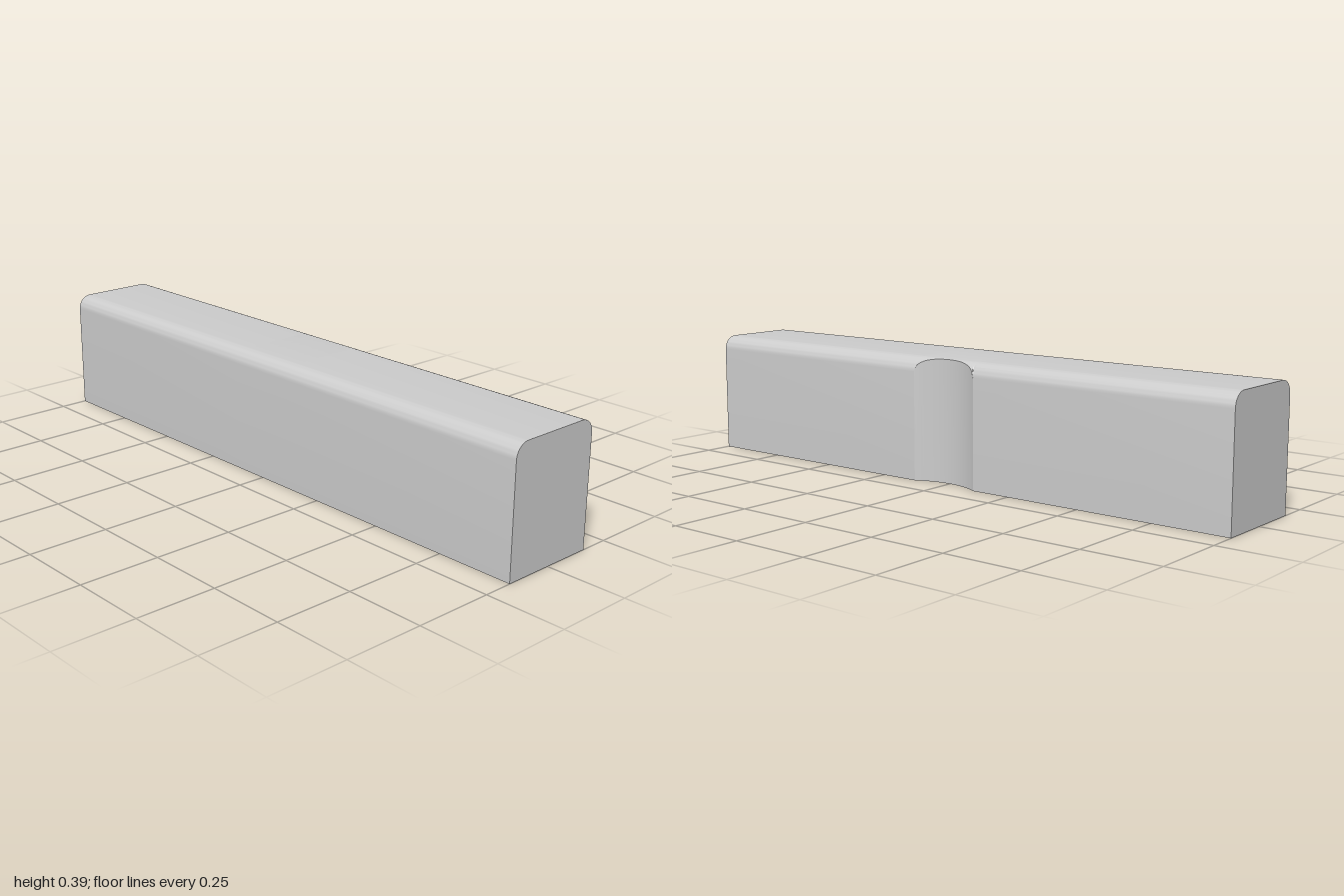
import * as THREE from 'three';
import { toCreasedNormals } from 'three/addons/utils/BufferGeometryUtils.js';

const HALF_W = 0.158, HEIGHT = 0.393, FILLET = 0.045, HALF_L = 1;
const NOTCH_HALF = 0.118, NOTCH_DEPTH = 0.031;
const NOTCH_R = (NOTCH_HALF ** 2 + NOTCH_DEPTH ** 2) / (2 * NOTCH_DEPTH);
const ARC_STEPS = 10, NOTCH_STEPS = 24;

// x of the bar's left wall at z, drawn inward by the round notch
function wallX(z) {
  if (Math.abs(z) >= NOTCH_HALF) return HALF_W;
  return HALF_W - NOTCH_DEPTH + NOTCH_R - Math.sqrt(NOTCH_R ** 2 - z * z);
}

// Cross-section with rounded top corners, cut off at x = cut
function crossSection(cut) {
  const cx = HALF_W - FILLET, cy = HEIGHT - FILLET;
  const pts = [[-HALF_W, 0], [cut, 0]];
  const start = Math.acos(Math.min(1, (cut - cx) / FILLET));
  const arc = (x, a0, a1) => {
    for (let i = 0; i <= ARC_STEPS; i++) {
      const a = a0 + (a1 - a0) * i / ARC_STEPS;
      pts.push([x + FILLET * Math.cos(a), cy + FILLET * Math.sin(a)]);
    }
  };
  arc(cx, start, Math.PI / 2);
  arc(-cx, Math.PI / 2, Math.PI);
  return pts;
}

function barGeometry() {
  // Stations along the bar: both ends plus a fine run through the notch
  const stations = [-HALF_L];
  const sweep = Math.asin(NOTCH_HALF / NOTCH_R);
  for (let i = 0; i <= NOTCH_STEPS; i++) {
    stations.push(NOTCH_R * Math.sin(sweep * (2 * i / NOTCH_STEPS - 1)));
  }
  stations.push(HALF_L);

  const positions = [], index = [];
  let n = 0;
  for (const z of stations) {
    const section = crossSection(wallX(z));
    n = section.length;
    for (const [x, y] of section) positions.push(x, y, z);
  }

  // Skin between neighbouring sections
  for (let s = 0; s < stations.length - 1; s++) {
    for (let j = 0; j < n; j++) {
      const k = (j + 1) % n;
      const a = s * n + j, b = s * n + k;
      index.push(a, b, b + n, a, b + n, a + n);
    }
  }

  // Flat end caps
  const last = (stations.length - 1) * n;
  for (let j = 1; j < n - 1; j++) {
    index.push(last, last + j, last + j + 1);
    index.push(0, j + 1, j);
  }

  const geo = new THREE.BufferGeometry();
  geo.setAttribute('position', new THREE.Float32BufferAttribute(positions, 3));
  geo.setIndex(index);
  return toCreasedNormals(geo, 0.35);
}

export function createModel() {
  const group = new THREE.Group();
  group.name = 'notchedBar';
  const bar = new THREE.Mesh(barGeometry(), new THREE.MeshStandardMaterial({ color: 0xcccccc }));
  bar.name = 'bar';
  group.add(bar);
  return group;
}
